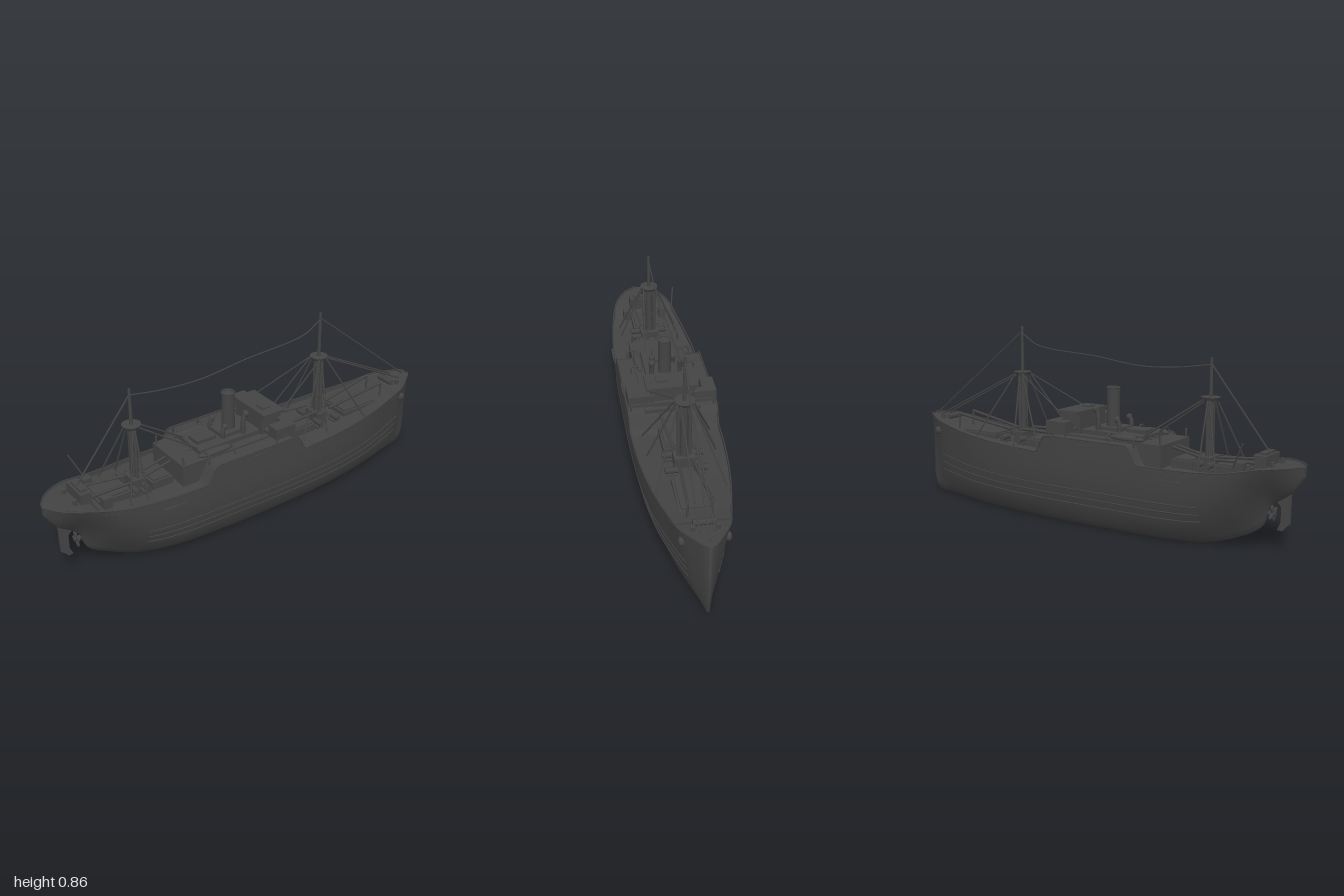
import * as THREE from 'three';

const paint = new THREE.MeshStandardMaterial({ color: 0x434343, side: THREE.DoubleSide });
paint.name = 'dark grey paint';

// Hull stations: [z, keel height, six half-widths from keel to rail, rail height]; bow at -z
const STATIONS = [
  [-1, .06, .003, .004, .004, .005, .006, .008, .395],
  [-.985, .02, .005, .009, .013, .017, .022, .03, .395],
  [-.94, 0, .009, .021, .032, .042, .053, .062, .39],
  [-.88, 0, .018, .042, .06, .074, .088, .1, .382],
  [-.75, 0, .048, .08, .1, .113, .122, .132, .358],
  [-.6, 0, .08, .112, .138, .152, .16, .163, .341],
  [-.4, 0, .106, .137, .164, .18, .186, .188, .327],
  [-.15, 0, .12, .148, .175, .192, .198, .198, .322],
  [.2, 0, .12, .148, .175, .192, .198, .198, .322],
  [.45, 0, .1, .135, .168, .187, .195, .195, .322],
  [.6, .003, .06, .09, .136, .168, .18, .182, .324],
  [.72, .033, .02, .04, .085, .133, .16, .166, .333],
  [.82, .09, .006, .014, .036, .078, .128, .145, .352],
  [.865, .185, .006, .022, .048, .082, .112, .13, .36],
  [.95, .25, .005, .022, .038, .055, .069, .08, .366],
  [1, .32, .003, .008, .01, .012, .013, .015, .367],
];
const LEVELS = [0, .1, .3, .55, .8, 1];
const step = THREE.MathUtils.smoothstep;
const raise = z => .078 * step(z, -.19, -.14) * (1 - step(z, .28, .34));
const V = (x, y, z) => new THREE.Vector3(x, y, z);

// Lengthwise curves through the stations, one per level
const lines = LEVELS.map((f, i) => new THREE.CatmullRomCurve3(
  STATIONS.map(s => V(s[2 + i], s[1] + f * (s[8] - s[1]), s[0]))));
const SAMPLES = 240;
const rail = t => {
  const p = lines[5].getPoint(t);
  return V(p.x, p.y + raise(p.z), p.z);
};

// Surface through rows of points
function loft(rows) {
  const n = rows[0].length, index = [];
  for (let i = 0; i < rows.length - 1; i++) {
    for (let j = 0; j < n - 1; j++) {
      const a = i * n + j, b = a + n;
      index.push(a, a + 1, b, b, a + 1, b + 1);
    }
  }
  const g = new THREE.BufferGeometry().setFromPoints(rows.flat());
  g.setIndex(index);
  g.computeVertexNormals();
  return g;
}

export function createModel() {
  const ship = new THREE.Group();
  ship.name = 'cargoShip';
  const add = (name, geo, x = 0, y = 0, z = 0) => {
    const m = new THREE.Mesh(geo, paint);
    m.name = name;
    m.position.set(x, y, z);
    ship.add(m);
    return m;
  };
  // Box from its base height to its top height
  const box = (name, w, y0, y1, z0, z1, x = 0) =>
    add(name, new THREE.BoxGeometry(w, y1 - y0, Math.abs(z1 - z0)), x, (y0 + y1) / 2, (z0 + z1) / 2);
  const post = (name, r0, r1, y0, y1, z, x = 0) =>
    add(name, new THREE.CylinderGeometry(r1, r0, y1 - y0, 16), x, (y0 + y1) / 2, z);
  // Straight rod between two points
  const rod = (name, a, b, r) => {
    const m = add(name, new THREE.CylinderGeometry(r, r, a.distanceTo(b), 6));
    m.position.copy(a).lerp(b, .5);
    m.quaternion.setFromUnitVectors(V(0, 1, 0), b.clone().sub(a).normalize());
  };
  const tube = (name, pts, r, seg = 30) =>
    add(name, new THREE.TubeGeometry(new THREE.CatmullRomCurve3(pts), seg, r, 8));

  // Hull shell and deck, both following the sheer
  const hullRows = [], deckRows = [];
  for (let k = 0; k <= SAMPLES; k++) {
    const t = k / SAMPLES;
    const half = [...lines.map(l => l.getPoint(t)), rail(t)];
    const mirror = half.map(p => V(-p.x, p.y, p.z)).reverse();
    hullRows.push([...mirror, ...half]);
    const top = half[6], z = top.z;
    const drop = .006 + .014 * step(z, -.84, -.82) * (1 - step(z, .8, .82)) * (1 - raise(z) / .09);
    const w = Math.max(0, top.x - .002);
    deckRows.push([V(w, top.y - drop, z), V(0, top.y - drop + .002, z), V(-w, top.y - drop, z)]);
  }
  add('hull', loft(hullRows));
  add('deck', loft(deckRows));

  // Rail cap, and slim strakes along the flat of the side
  for (const s of [-1, 1]) {
    const cap = [], strakes = [[], [], []];
    for (let k = 0; k <= 90; k++) {
      const p = rail(k / 90);
      cap.push(V(s * p.x, p.y, p.z));
      const t = .2 + .47 * k / 90;
      [.1, .5, .95].forEach((f, i) => {
        const q = lines[2].getPoint(t).lerp(lines[3].getPoint(t), f);
        strakes[i].push(V(s * q.x, q.y, q.z));
      });
    }
    tube('railCap', cap, .003, 180);
    strakes.forEach(p => tube('strake', p, .003, 100));
  }

  // Rudder and propeller
  const blade = new THREE.Shape([[.885, .25], [.945, .25], [.943, .12], [.925, .105], [.915, .09], [.89, .09], [.905, .125], [.905, .19], [.885, .21]]
    .map(p => new THREE.Vector2(-p[0], p[1])));
  const rudder = add('rudder', new THREE.ExtrudeGeometry(blade, { depth: .014, bevelEnabled: false }), -.007);
  rudder.rotation.y = Math.PI / 2;
  rod('propellerShaft', V(0, .155, .8), V(0, .155, .88), .011);
  for (let i = 0; i < 4; i++) {
    const b = add('propellerBlade', new THREE.SphereGeometry(1, 10, 8), 0, .155, .868);
    b.scale.set(.012, .02, .007);
    b.rotation.z = i * Math.PI / 2 + .4;
    b.translateY(.02);
  }

  // Midship deckhouse and bridge
  box('deckhouse', .25, .3, .402, -.15, .41);
  box('casing', .17, .39, .422, -.13, .3);
  box('bridge', .2, .39, .492, -.125, -.02);
  box('bridgeRoof', .23, .488, .503, -.135, -.02);
  box('bridgeFront', .37, .415, .43, -.14, -.03);
  for (const s of [-1, 1]) {
    box('bridgeWing', .06, .415, .466, -.135, -.03, s * .166);
    box('wingLink', .07, .42, .466, -.135, -.1, s * .115);
    for (const z of [-.13, -.04]) post('wingPost', .004, .004, .37, .42, z, s * .185);
    post('housePost', .005, .005, .4, .44, .4, s * .11);
  }
  box('chartBox', .05, .5, .51, -.09, -.05, .04);
  box('skylight', .07, .42, .438, .18, .28);
  box('engineCasing', .11, .42, .438, .03, .16);

  // Funnel with rim and ventilators with cowls
  post('funnel', .031, .029, .4, .605, .092);
  const rim = add('funnelRim', new THREE.TorusGeometry(.028, .004, 8, 24), 0, .608, .092);
  rim.rotation.x = Math.PI / 2;
  const vent = (x, y, z, h, r) => {
    tube('ventilator', [V(x, y, z), V(x, y + h * .75, z), V(x, y + h, z - r), V(x, y + h, z - r * 2)], r);
    const c = add('ventCowl', new THREE.SphereGeometry(r * 1.5, 12, 8), x, y + h, z - r);
    c.scale.z = .8;
  };
  for (const s of [-1, 1]) {
    vent(s * .065, .4, .055, .115, .011);
    vent(s * .05, .4, .155, .075, .01);
  }

  // Lifeboats on low davits
  for (const s of [-1, 1]) {
    const boat = add('lifeboat', new THREE.SphereGeometry(1, 16, 10), s * .105, .41, .23);
    boat.scale.set(.02, .016, .09);
    for (const z of [.16, .29]) {
      tube('davit', [V(s * .145, .38, z), V(s * .147, .415, z), V(s * .135, .428, z), V(s * .11, .424, z)], .004, 12);
    }
  }

  // Cargo hatches with coamings, and winches
  for (const [z0, z1, w] of [[-.74, -.53, .15], [-.35, -.2, .15], [.43, .53, .14], [.63, .78, .14]]) {
    box('hatchCoaming', w, .29, .338, z0, z1);
    box('hatchCover', w - .02, .338, .345, z0 + .01, z1 - .01);
  }
  for (const z of [-.48, -.38, .56, .61]) {
    for (const s of [-1, 1]) {
      box('winchBed', .04, .29, .32, z - .02, z + .02, s * .06);
      rod('winchDrum', V(s * .035, .332, z), V(s * .09, .332, z), .014);
    }
  }

  // Masts: lower column, topmast, crosstree platform, paired posts and shrouds
  const mast = (z, platform, top, spread, wide) => {
    post('lowerMast', .017, .014, .3, platform, z);
    post('topmast', .008, .006, platform, top, z);
    post('crosstree', .034, .042, platform - .008, platform + .008, z);
    box('mastHouse', .09, .3, .36, z - .03, z + .03);
    for (const s of [-1, 1]) {
      post('mastPost', .008, .008, .3, platform, z, s * .024);
      for (const d of spread) {
        rod('shroud', V(s * .03, platform, z + d * .1), V(s * wide, .32, z + d), .004);
      }
    }
  };
  mast(-.42, .635, .855, [-.18, .06, .2], .15);
  mast(.575, .6, .77, [.02, .1], .14);
  for (const s of [-1, 1]) {
    rod('foreStay', V(s * .02, .635, -.44), V(s * .03, .395, -.92), .004);
    rod('bridgeStay', V(s * .03, .635, -.4), V(s * .1, .49, -.13), .003);
    rod('afterStay', V(s * .03, .6, .56), V(s * .06, .42, .29), .004);
    // Derrick booms
    rod('foreBoom', V(s * .03, .365, -.47), V(s * .05, .415, -.78), .007);
    rod('wellBoom', V(s * .04, .375, -.39), V(s * .06, .38, -.14), .007);
    rod('aftBoom', V(s * .02, .35, .55), V(s * .022, .428, .2), .006);
    rod('sternBoom', V(s * .03, .35, .6), V(s * .05, .365, .82), .006);
    post('boomRest', .005, .005, .34, .415, -.78, s * .05);
  }
  rod('bowStay', V(0, .83, -.42), V(0, .395, -.97), .004);
  rod('sternStay', V(0, .745, .575), V(0, .4, .85), .004);
  tube('aerial', [V(0, .742, .575), V(0, .72, .42), V(0, .713, .23), V(0, .74, 0),
    V(0, .772, -.33), V(0, .82, -.415)], .003, 40);

  // Poop and forecastle fittings
  box('poopHouse', .13, .34, .4, .81, .86);
  box('poopLocker', .09, .4, .41, .82, .85);
  rod('flagstaff', V(-.14, .355, .75), V(-.155, .46, .8), .004);
  for (const s of [-1, 1]) {
    box('poopBox', .035, .32, .37, .74, .78, s * .09);
    post('sternBollard', .009, .009, .35, .378, .88, s * .05);
    post('bowBollard', .009, .009, .37, .4, -.89, s * .05);
    const hawse = add('anchorHawse', new THREE.SphereGeometry(.02, 12, 8), s * .092, .325, -.885);
    hawse.scale.set(.7, 1, 1);
    // Plates along the side
    box('sidePlate', .008, .365, .38, .03, .1, s * .199);
    box('rubbingPlate', .008, .27, .278, .44, .55, s * .194);
  }
  rod('windlass', V(-.045, .39, -.86), V(.045, .39, -.86), .014);
  return ship;
}
